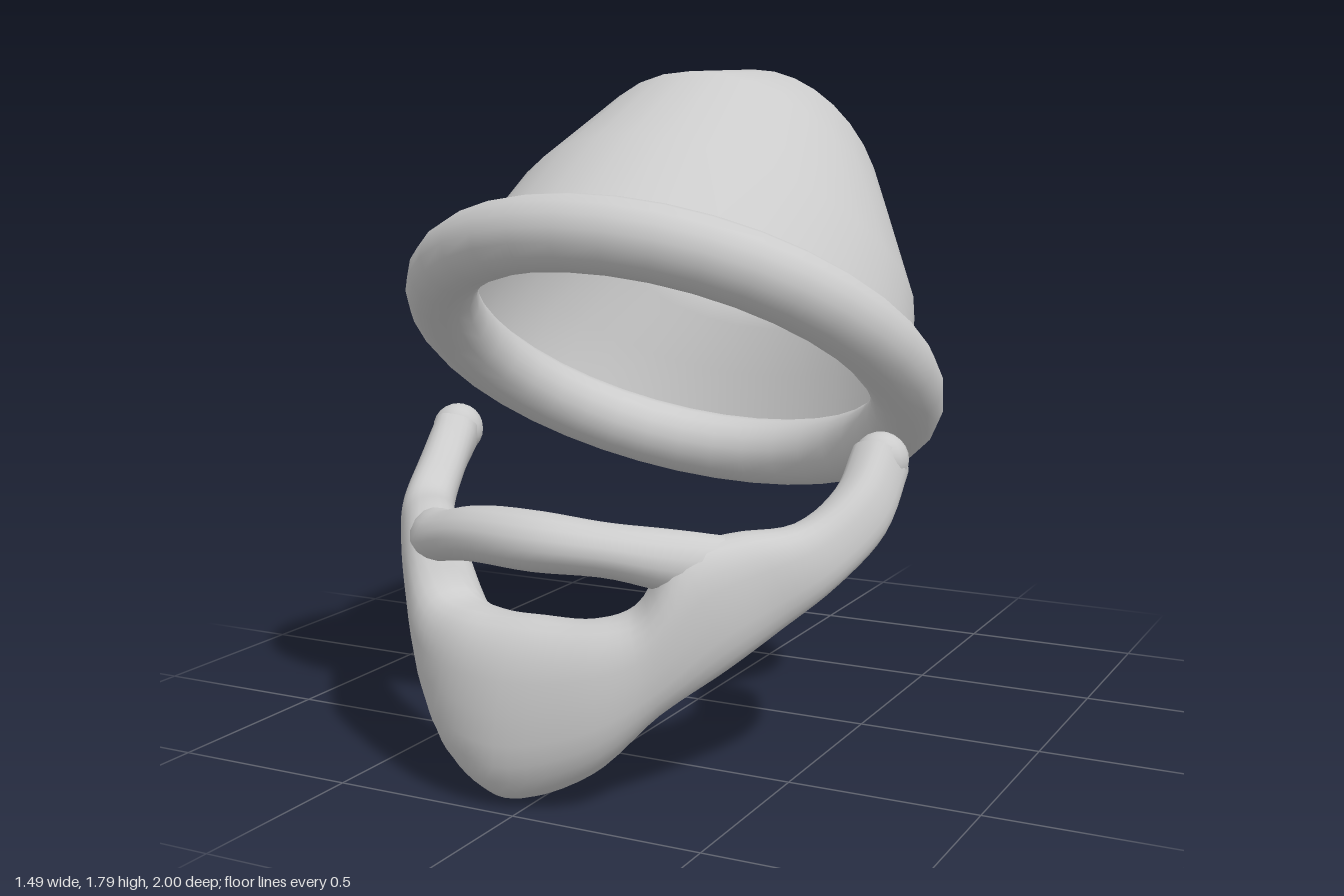
import * as THREE from 'three';

const V = (x, y, z) => new THREE.Vector3(x, y, z);
const mat = new THREE.MeshStandardMaterial({ color: 0xcccccc, side: THREE.DoubleSide });

// Skin rounded sections; each station is { t: top point, b: bottom point, w: half width }.
// power < 1 squares the section, egg > 0 narrows its top and widens its bottom.
function loft(stations, sides, power = 1, egg = 0) {
  const mids = stations.map(s => s.t.clone().add(s.b).multiplyScalar(0.5));
  const pos = [], idx = [], last = stations.length - 1;
  const soft = v => Math.sign(v) * Math.abs(v) ** power;
  stations.forEach((s, i) => {
    const along = mids[Math.min(i + 1, last)].clone().sub(mids[Math.max(i - 1, 0)]);
    const up = s.t.clone().sub(s.b).multiplyScalar(0.5);
    const side = along.cross(up).normalize();
    for (let j = 0; j < sides; j++) {
      const a = j / sides * Math.PI * 2;
      const w = s.w * (1 - egg * Math.cos(a));
      const p = mids[i].clone().addScaledVector(up, soft(Math.cos(a))).addScaledVector(side, w * soft(Math.sin(a)));
      pos.push(p.x, p.y, p.z);
      if (i < last) {
        const k = i * sides + j, n = i * sides + (j + 1) % sides;
        idx.push(k, n, k + sides, n, n + sides, k + sides);
      }
    }
  });
  const g = new THREE.BufferGeometry();
  g.setAttribute('position', new THREE.Float32BufferAttribute(pos, 3));
  g.setIndex(idx);
  g.computeVertexNormals();
  return g;
}

// Smoothly resample stations along their length.
function refine(stations, count) {
  const top = new THREE.CatmullRomCurve3(stations.map(s => s.t));
  const bottom = new THREE.CatmullRomCurve3(stations.map(s => s.b));
  const width = new THREE.SplineCurve(stations.map((s, i) => new THREE.Vector2(i, s.w)));
  return Array.from({ length: count + 1 }, (_, i) => {
    const u = i / count;
    return { t: top.getPoint(u), b: bottom.getPoint(u), w: width.getPoint(u).y };
  });
}

const station = ([tx, ty, tz, bx, by, bz, w]) => ({ t: V(tx, ty, tz), b: V(bx, by, bz), w });

export function createModel() {
  const model = new THREE.Group();
  const add = (parent, name, geo, x = 0, y = 0, z = 0) => {
    const m = new THREE.Mesh(geo, mat);
    m.name = name;
    m.position.set(x, y, z);
    parent.add(m);
    return m;
  };

  // Hat: drooping cone, rolled brim and bobble
  const hat = new THREE.Group();
  hat.name = 'hat';
  model.add(hat);
  const cone = [ // top z, top y, bottom z, bottom y, half width
    [0.66, 1.44, -0.42, 0.73, 0.62],
    [0.39, 1.61, -0.45, 0.88, 0.59],
    [0.05, 1.775, -0.47, 1.02, 0.475],
    [-0.36, 1.79, -0.50, 1.09, 0.37],
    [-0.63, 1.72, -0.54, 1.12, 0.28],
    [-0.85, 1.54, -0.61, 1.11, 0.225],
    [-1.0, 1.26, -0.68, 1.03, 0.175],
    [-0.97, 0.95, -0.76, 0.90, 0.11],
    [-0.93, 0.80, -0.81, 0.80, 0.06],
  ].map(([tz, ty, bz, by, w]) => station([0, ty, tz, 0, by, bz, w]));
  add(hat, 'hatCone', loft(cone, 32, 1, 0.1));
  add(hat, 'hatBrim', new THREE.TorusGeometry(0.648, 0.097, 16, 36), 0, 1.018, 0.16).rotation.x = 0.99;
  add(hat, 'hatBobble', new THREE.SphereGeometry(0.121, 24, 16), 0, 0.71, -0.865);

  // Beard: one sweep from sideburn to sideburn, deep at the chin
  const beard = new THREE.Group();
  beard.name = 'beard';
  model.add(beard);
  const jaw = [ // top xyz, bottom xyz, half thickness
    [0.61, 0.845, 0.29, 0.66, 0.735, 0.19, 0.065],
    [0.60, 0.75, 0.40, 0.66, 0.61, 0.33, 0.065],
    [0.53, 0.67, 0.52, 0.60, 0.51, 0.46, 0.07],
    [0.42, 0.66, 0.66, 0.49, 0.41, 0.57, 0.08],
    [0.32, 0.63, 0.77, 0.40, 0.33, 0.67, 0.09],
    [0.235, 0.49, 0.81, 0.27, 0.23, 0.76, 0.11],
    [0.12, 0.455, 0.83, 0.14, 0.08, 0.85, 0.125],
    [-0.03, 0.45, 0.83, -0.06, 0.0, 0.89, 0.135],
    [-0.16, 0.45, 0.83, -0.18, 0.04, 0.86, 0.125],
    [-0.29, 0.475, 0.80, -0.28, 0.13, 0.78, 0.11],
    [-0.38, 0.61, 0.76, -0.41, 0.31, 0.66, 0.09],
    [-0.47, 0.65, 0.64, -0.51, 0.43, 0.57, 0.08],
    [-0.57, 0.66, 0.49, -0.62, 0.53, 0.44, 0.07],
    [-0.60, 0.74, 0.36, -0.68, 0.62, 0.31, 0.065],
    [-0.64, 0.82, 0.26, -0.69, 0.72, 0.16, 0.065],
  ].map(station);
  add(beard, 'jawBeard', loft(refine(jaw, 70), 24, 0.8));

  // Rounded sideburn ends
  for (const [name, s] of [['leftSideburnEnd', jaw[0]], ['rightSideburnEnd', jaw[jaw.length - 1]]]) {
    const c = s.t.clone().add(s.b).multiplyScalar(0.5);
    add(beard, name, new THREE.SphereGeometry(0.072, 16, 12), c.x, c.y, c.z);
  }

  // Moustache bar above the mouth opening, its ends sunk into the cheeks
  const moustache = [
    [0.49, 0.62, 0.57, 0.49, 0.50, 0.55, 0.05],
    [0.40, 0.66, 0.68, 0.41, 0.49, 0.66, 0.07],
    [0.30, 0.68, 0.765, 0.30, 0.525, 0.75, 0.08],
    [0.17, 0.695, 0.83, 0.17, 0.565, 0.825, 0.082],
    [0, 0.715, 0.87, 0, 0.57, 0.865, 0.085],
    [-0.2, 0.705, 0.83, -0.2, 0.565, 0.825, 0.082],
    [-0.35, 0.665, 0.76, -0.35, 0.53, 0.745, 0.08],
    [-0.43, 0.65, 0.68, -0.43, 0.49, 0.66, 0.07],
    [-0.51, 0.62, 0.57, -0.51, 0.50, 0.55, 0.05],
  ].map(station);
  add(beard, 'moustache', loft(refine(moustache, 36), 16));

  return model;
}
